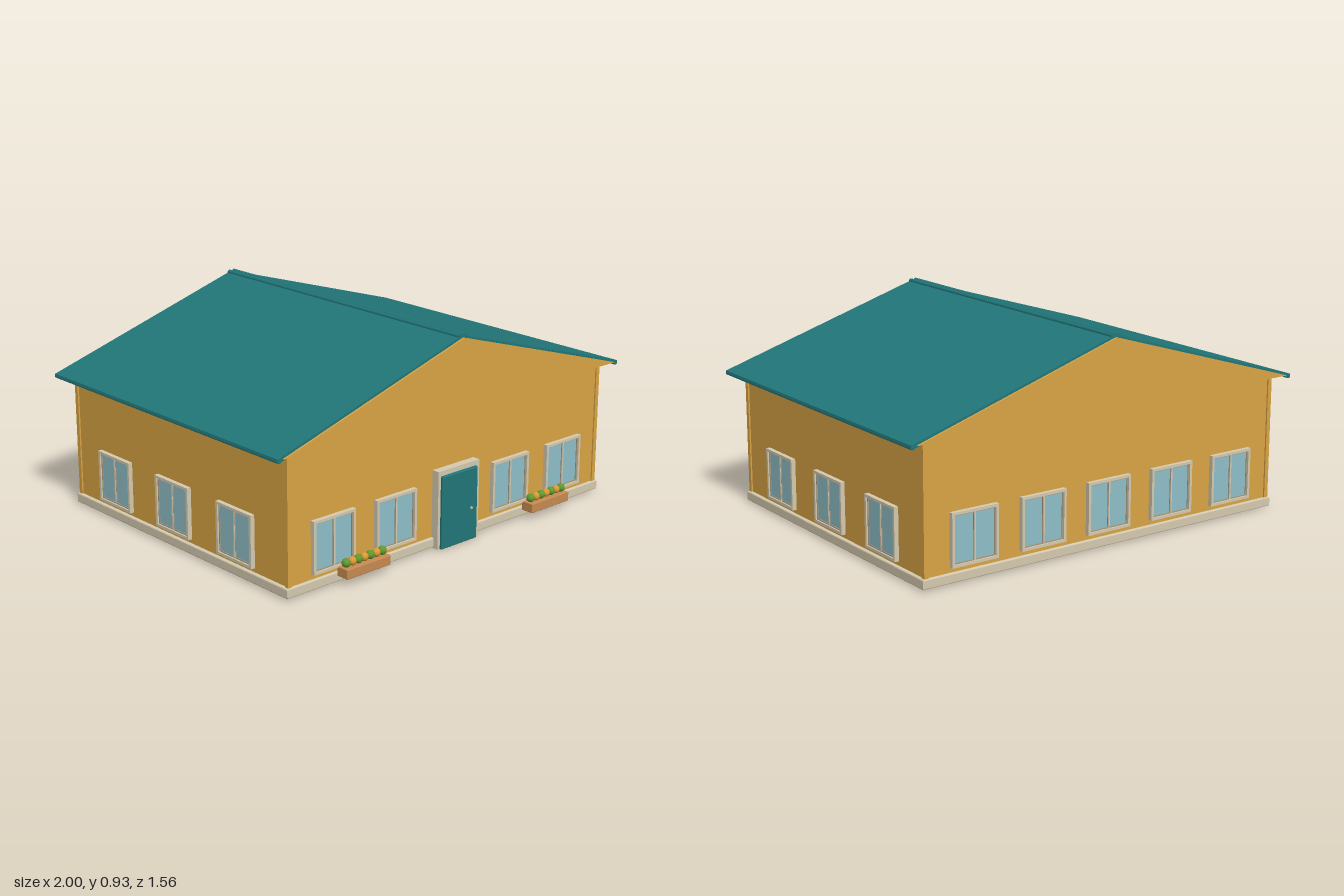
import * as THREE from 'three';
import { RoundedBoxGeometry } from 'three/addons/geometries/RoundedBoxGeometry.js';

const mat = (name, color, side = THREE.FrontSide) => {
  const m = new THREE.MeshStandardMaterial({ color, side });
  m.name = name;
  return m;
};

export function createModel() {
  const house = new THREE.Group();
  house.name = 'house';

  const wall = mat('ochre wall', 0xd9a444, THREE.DoubleSide);
  const teal = mat('teal', 0x217679, THREE.DoubleSide);
  const trim = mat('cream trim', 0xd6cbb0);
  const sash = mat('taupe sash', 0xa89a80);
  const glass = mat('pale blue glass', 0x8fbfc8);
  const wood = mat('planter wood', 0xc78a50);
  const green = mat('leaf green', 0x5f9a2e);
  const orange = mat('orange bloom', 0xdb9a35);
  const metal = mat('handle metal', 0xb8b8b0);

  const CZ = -0.01; // centre of the building in z
  const HX = 0.915, HZ = 0.715; // half size of the walls

  const add = (parent, name, geometry, material, x = 0, y = 0, z = 0) => {
    const m = new THREE.Mesh(geometry, material);
    m.name = name;
    m.position.set(x, y, z);
    parent.add(m);
    return m;
  };
  const box = (parent, name, material, w, h, d, x, y, z) =>
    add(parent, name, new THREE.BoxGeometry(w, h, d), material, x, y, z);

  const rect = (path, w, h) => path.moveTo(-w, -h).lineTo(w, -h).lineTo(w, h).lineTo(-w, h).closePath();

  // Hollow rectangular ring standing between two heights
  const ring = (name, material, hx, hz, t, y0, y1, bevel = 0) => {
    const shape = rect(new THREE.Shape(), hx - bevel, hz - bevel);
    shape.holes.push(rect(new THREE.Path(), hx - t, hz - t));
    const g = new THREE.ExtrudeGeometry(shape, {
      depth: y1 - y0 - 2 * bevel, bevelEnabled: bevel > 0,
      bevelSize: bevel, bevelThickness: bevel, bevelSegments: 2,
    });
    g.rotateX(-Math.PI / 2);
    add(house, name, g, material, 0, y0 + bevel, CZ);
  };
  ring('walls', wall, HX, HZ, 0.012, 0.04, 0.618);
  ring('plinth', trim, 0.931, 0.727, 0.04, 0.01, 0.053, 0.005);

  // Corner boards
  for (const sx of [-1, 1]) for (const sz of [-1, 1])
    box(house, 'cornerBoard', wall, 0.02, 0.565, 0.02, sx * (HX - 0.003), 0.335, CZ + sz * (HZ - 0.003));

  // Roof: a chevron profile drawn along z
  const profile = new THREE.Shape();
  profile.moveTo(-0.994, 0.6).lineTo(0, 0.903).lineTo(0.994, 0.6).lineTo(1, 0.605)
    .lineTo(0.998, 0.619).lineTo(0, 0.923).lineTo(-0.998, 0.619).lineTo(-1, 0.605).closePath();
  const roofLength = 1.515;
  const roof = new THREE.ExtrudeGeometry(profile, { depth: roofLength, bevelEnabled: false });
  add(house, 'roof', roof, teal, 0, 0, CZ - roofLength / 2);

  // Ridge cap and eave edges
  for (const s of [-1, 1]) {
    const cap = new THREE.CylinderGeometry(0.011, 0.011, roofLength, 12).rotateX(Math.PI / 2);
    add(house, 'ridgeCap', cap, teal, s * 0.013, 0.918, CZ);
    const eave = new THREE.CylinderGeometry(0.01, 0.01, roofLength, 12).rotateX(Math.PI / 2);
    add(house, 'eaveEdge', eave, teal, s * 0.99, 0.609, CZ);
  }

  // Gable panels at the ends of the overhang
  const triangle = new THREE.Shape();
  triangle.moveTo(-0.972, 0.616).lineTo(0.972, 0.616).lineTo(0, 0.913).closePath();
  for (const s of [-1, 1]) {
    const g = new THREE.ExtrudeGeometry(triangle, { depth: 0.012, bevelEnabled: false });
    add(house, 'gable', g, wall, 0, 0, CZ + s * 0.761 - 0.006);
  }

  // Window facing +z, with its back on z = 0
  const W = 0.225, H = 0.23;
  const makeWindow = () => {
    const g = new THREE.Group();
    g.name = 'window';
    const outer = rect(new THREE.Shape(), W / 2, H / 2);
    outer.holes.push(rect(new THREE.Path(), W / 2 - 0.012, H / 2 - 0.012));
    add(g, 'windowFrame', new THREE.ExtrudeGeometry(outer, { depth: 0.02, bevelEnabled: false }), trim);
    const pw = (W - 0.024) / 4, ph = H / 2 - 0.012;
    for (const s of [-1, 1]) {
      const pane = rect(new THREE.Shape(), pw, ph);
      pane.holes.push(rect(new THREE.Path(), pw - 0.005, ph - 0.005));
      add(g, 'windowSash', new THREE.ExtrudeGeometry(pane, { depth: 0.013, bevelEnabled: false }), sash, s * pw);
    }
    box(g, 'windowMullion', trim, 0.007, 2 * ph, 0.016, 0, 0, 0.008);
    box(g, 'windowGlass', glass, W - 0.026, H - 0.026, 0.008, 0, 0, 0.005);
    return g;
  };
  const place = (x, z, turn) => {
    const w = makeWindow();
    w.position.set(x, 0.19, z);
    w.rotation.y = turn;
    house.add(w);
  };
  const spacing = 0.342;
  for (const i of [-2, -1, 0, 1, 2]) {
    if (i) place(i * spacing, CZ + HZ, 0);
    place(i * spacing, CZ - HZ, Math.PI);
  }
  for (const s of [-1, 1]) for (const i of [-1, 0, 1])
    place(s * (HX + 0.005), -0.02 + i * 0.413, s * Math.PI / 2);

  // Door with its surround
  const door = new THREE.Group();
  door.name = 'door';
  door.position.z = CZ + HZ;
  house.add(door);
  for (const s of [-1, 1]) box(door, 'doorJamb', trim, 0.014, 0.335, 0.036, s * 0.115, 0.173, 0.018);
  box(door, 'doorLintel', trim, 0.244, 0.022, 0.036, 0, 0.342, 0.018);
  add(door, 'doorLeaf', new RoundedBoxGeometry(0.212, 0.325, 0.042, 2, 0.005), teal, 0, 0.1655, 0.024);
  add(door, 'doorKnob', new THREE.SphereGeometry(0.007, 10, 8), metal, 0.066, 0.15, 0.049);

  // Planters with rows of flowers
  for (const s of [-1, 1]) {
    const planter = new THREE.Group();
    planter.name = 'planter';
    planter.position.set(s * 0.547, 0, 0.747);
    house.add(planter);
    add(planter, 'planterBox', new RoundedBoxGeometry(0.24, 0.043, 0.062, 2, 0.004), wood, 0, 0.058, 0);
    for (let i = 0; i < 7; i++)
      add(planter, i % 2 ? 'bloom' : 'leaf', new THREE.SphereGeometry(0.019, 12, 8),
        i % 2 ? orange : green, -0.099 + i * 0.033, 0.096, 0);
  }
  return house;
}
